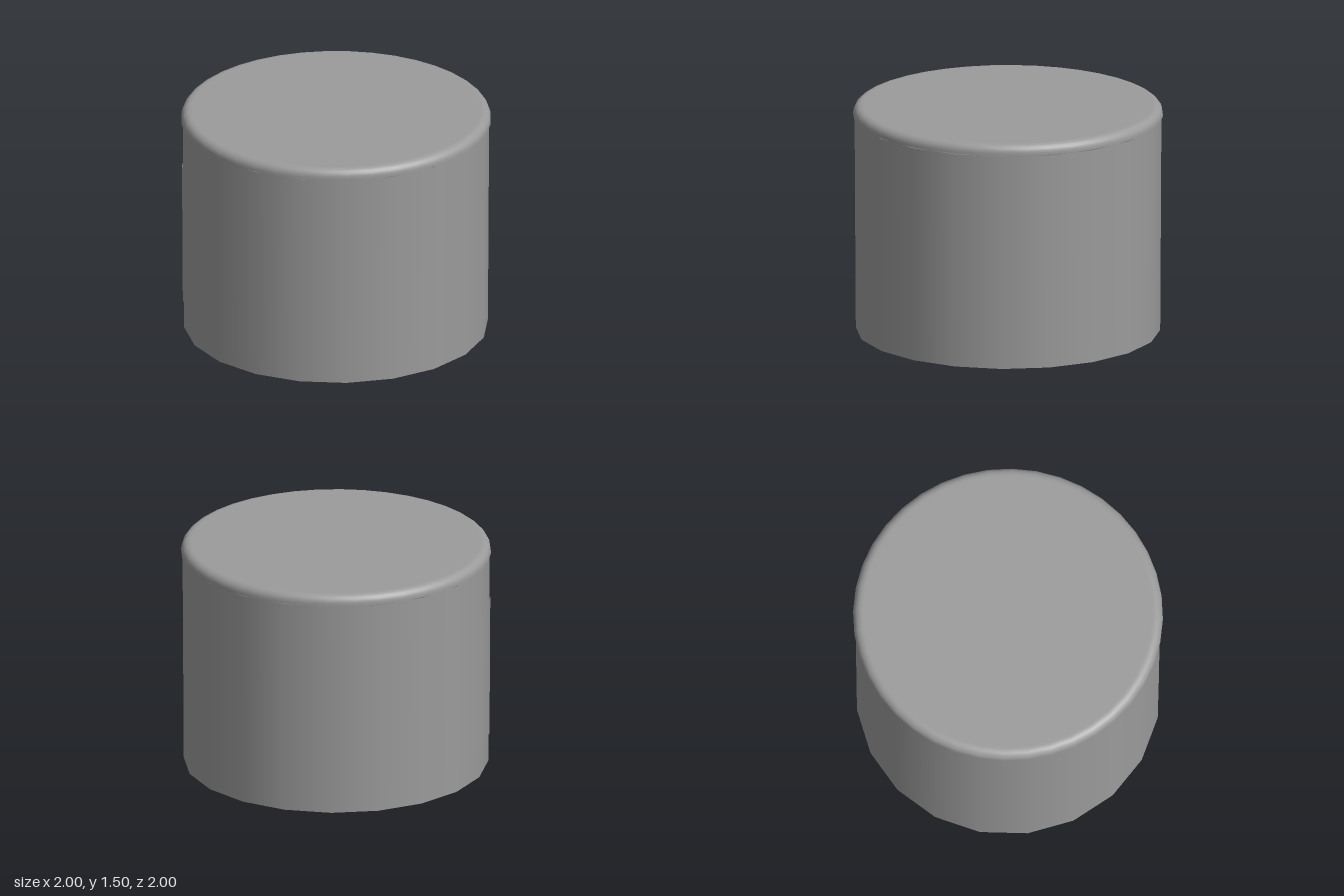
import * as THREE from 'three';

const SIDES = 20;
const STEP = (Math.PI * 2) / SIDES;
const PHASE = THREE.MathUtils.degToRad(6.6);
const BODY_TOP = 1.423;
const LID_BOTTOM = 1.43;

// radius of the slightly flared wall at height y
const wallRadius = (y) => 0.983 + 0.008 * (y / BODY_TOP);

// open shell following the wall between two heights
function wallShell(y0, y1, offset, firstSide, sideCount) {
  const geometry = new THREE.CylinderGeometry(
    wallRadius(y1) + offset, wallRadius(y0) + offset, y1 - y0,
    sideCount, 1, true, PHASE + firstSide * STEP, sideCount * STEP);
  geometry.translate(0, (y0 + y1) / 2, 0);
  return geometry;
}

export function createModel() {
  const model = new THREE.Group();
  const grey = new THREE.MeshStandardMaterial({ color: 0x9b9b9b, side: THREE.DoubleSide });
  const add = (name, geometry) => {
    const mesh = new THREE.Mesh(geometry, grey);
    mesh.name = name;
    model.add(mesh);
  };

  // tub wall, open at the bottom
  add('body', wallShell(0, BODY_TOP, 0, 0, SIDES));

  // thin panel wrapped around a quarter of the back
  add('backPanel', wallShell(0.19, 1.13, 0.007, 8, 5));

  // lid with a rounded upper edge, twice as many sides as the wall
  const bevel = 0.055;
  const profile = [new THREE.Vector2(1, LID_BOTTOM)];
  for (let i = 0; i <= 6; i++) {
    const a = (i / 6) * Math.PI / 2;
    profile.push(new THREE.Vector2(1 - bevel + bevel * Math.cos(a), 1.5 - bevel + bevel * Math.sin(a)));
  }
  profile.push(new THREE.Vector2(0.93, 1.5), new THREE.Vector2(0, 1.5));
  add('lid', new THREE.LatheGeometry(profile, SIDES * 2, PHASE));

  // flat underside of the lid
  const underside = new THREE.CircleGeometry(1, SIDES * 2, Math.PI / 2 - PHASE);
  underside.rotateX(Math.PI / 2);
  underside.translate(0, LID_BOTTOM, 0);
  add('lidUnderside', underside);

  return model;
}
